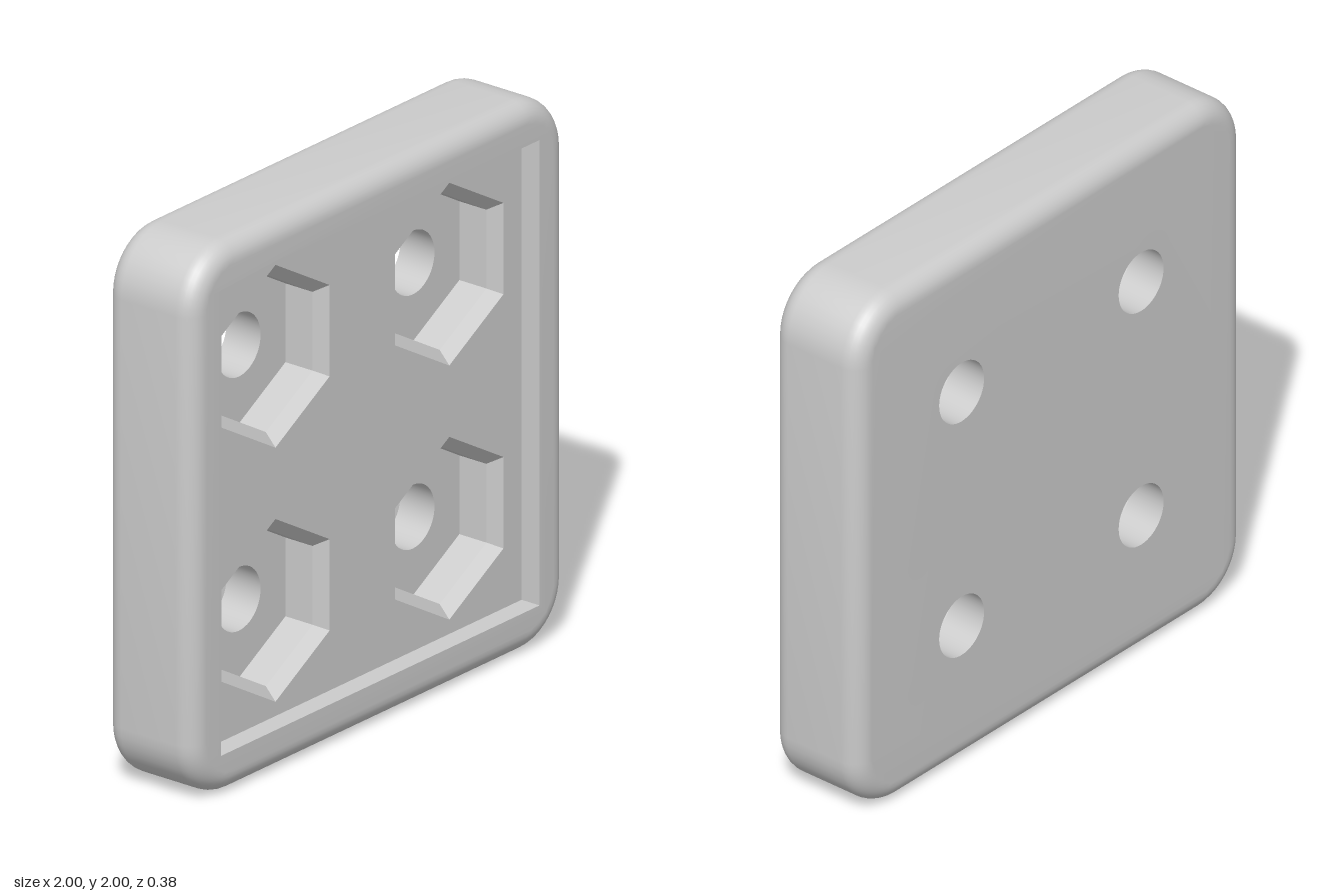
import * as THREE from 'three';
import { mergeGeometries, toCreasedNormals } from 'three/addons/utils/BufferGeometryUtils.js';

const T = 0.1925;                 // half thickness
const R = 0.22, F = 0.075;        // corner radius, edge fillet
const RECESS = 0.848;             // half width of the square recess
const Z_RECESS = T - 0.078, Z_CHAMFER = Z_RECESS - 0.042, Z_POCKET = T - 0.237;
const PITCH = 0.463, HOLE = 0.116;
const HEX_OUT = 0.333, HEX_IN = 0.287;
const CENTRES = [[-PITCH, -PITCH], [PITCH, -PITCH], [PITCH, PITCH], [-PITCH, PITCH]];

// Counter-clockwise outlines as Vector2 arrays
function ngon(n, r, cx = 0, cy = 0, start = Math.PI / 2) {
  return Array.from({ length: n }, (_, i) => {
    const a = start + (i / n) * Math.PI * 2;
    return new THREE.Vector2(cx + r * Math.cos(a), cy + r * Math.sin(a));
  });
}
const square = (h) => ngon(4, h * Math.SQRT2, 0, 0, Math.PI / 4);
const circle = (cx, cy) => ngon(48, HOLE, cx, cy);

function roundedSquare(half, r, steps = 10) {
  const pts = [];
  for (let c = 0; c < 4; c++) {
    const mid = Math.PI / 4 + c * Math.PI / 2;
    const cx = Math.sign(Math.cos(mid)) * (half - r), cy = Math.sign(Math.sin(mid)) * (half - r);
    for (let i = 0; i <= steps; i++) {
      const a = c * Math.PI / 2 + (i / steps) * Math.PI / 2;
      pts.push(new THREE.Vector2(cx + r * Math.cos(a), cy + r * Math.sin(a)));
    }
  }
  return pts;
}

// Wall through [outline, z] sections: front to back faces outward, back to front faces inward
function loft(sections) {
  const pos = [];
  for (let s = 0; s < sections.length - 1; s++) {
    const [p, zp] = sections[s], [q, zq] = sections[s + 1];
    for (let i = 0; i < p.length; i++) {
      const j = (i + 1) % p.length;
      const a = [p[i].x, p[i].y, zp], b = [p[j].x, p[j].y, zp];
      const c = [q[i].x, q[i].y, zq], d = [q[j].x, q[j].y, zq];
      pos.push(...a, ...c, ...b, ...b, ...c, ...d);
    }
  }
  const g = new THREE.BufferGeometry();
  g.setAttribute('position', new THREE.Float32BufferAttribute(pos, 3));
  return g;
}

// Flat face with holes, facing the front or the back
function face(outline, holes, z, back = false) {
  const shape = new THREE.Shape(outline);
  holes.forEach((h) => shape.holes.push(new THREE.Path(h)));
  const g = new THREE.ShapeGeometry(shape).toNonIndexed();
  g.deleteAttribute('uv');
  g.deleteAttribute('normal');
  if (back) g.rotateY(Math.PI);
  return g.translate(0, 0, z);
}

export function createModel() {
  const model = new THREE.Group();
  model.name = 'hexPocketPlate';
  const body = new THREE.Group();
  body.position.y = 1;
  model.add(body);
  const material = new THREE.MeshStandardMaterial({ color: 0xcccccc });

  const add = (name, parts) => {
    const mesh = new THREE.Mesh(toCreasedNormals(mergeGeometries(parts), 0.5), material);
    mesh.name = name;
    body.add(mesh);
  };

  // Rounded outer shell with filleted edges, front rim and drilled back
  const front = [], rear = [], N = 8;
  for (let i = 0; i <= N; i++) {
    const t = (1 - i / N) * Math.PI / 2;
    const inset = F * (1 - Math.cos(t)), z = T - F + F * Math.sin(t);
    const outline = roundedSquare(1 - inset, R - inset);
    front.push([outline, z]);
    rear.unshift([outline, -z]);
  }
  const flat = roundedSquare(1 - F, R - F);
  add('plateShell', [
    loft([...front, ...rear]),
    face(flat, [square(RECESS)], T),
    face(flat, CENTRES.map(([x, y]) => circle(x, y)), -T, true),
  ]);

  // Shallow square recess with hexagonal openings in its floor
  add('squareRecess', [
    loft([[square(RECESS), Z_RECESS], [square(RECESS), T]]),
    face(square(RECESS), CENTRES.map(([x, y]) => ngon(6, HEX_OUT, x, y)), Z_RECESS),
  ]);

  // Chamfered hexagonal pockets, each with a through hole
  CENTRES.forEach(([x, y], i) => {
    const inner = ngon(6, HEX_IN, x, y);
    add('hexPocket' + (i + 1), [
      loft([[inner, Z_POCKET], [inner, Z_CHAMFER], [ngon(6, HEX_OUT, x, y), Z_RECESS]]),
      face(inner, [circle(x, y)], Z_POCKET),
    ]);
    add('throughHole' + (i + 1), [loft([[circle(x, y), -T], [circle(x, y), Z_POCKET]])]);
  });

  return model;
}
